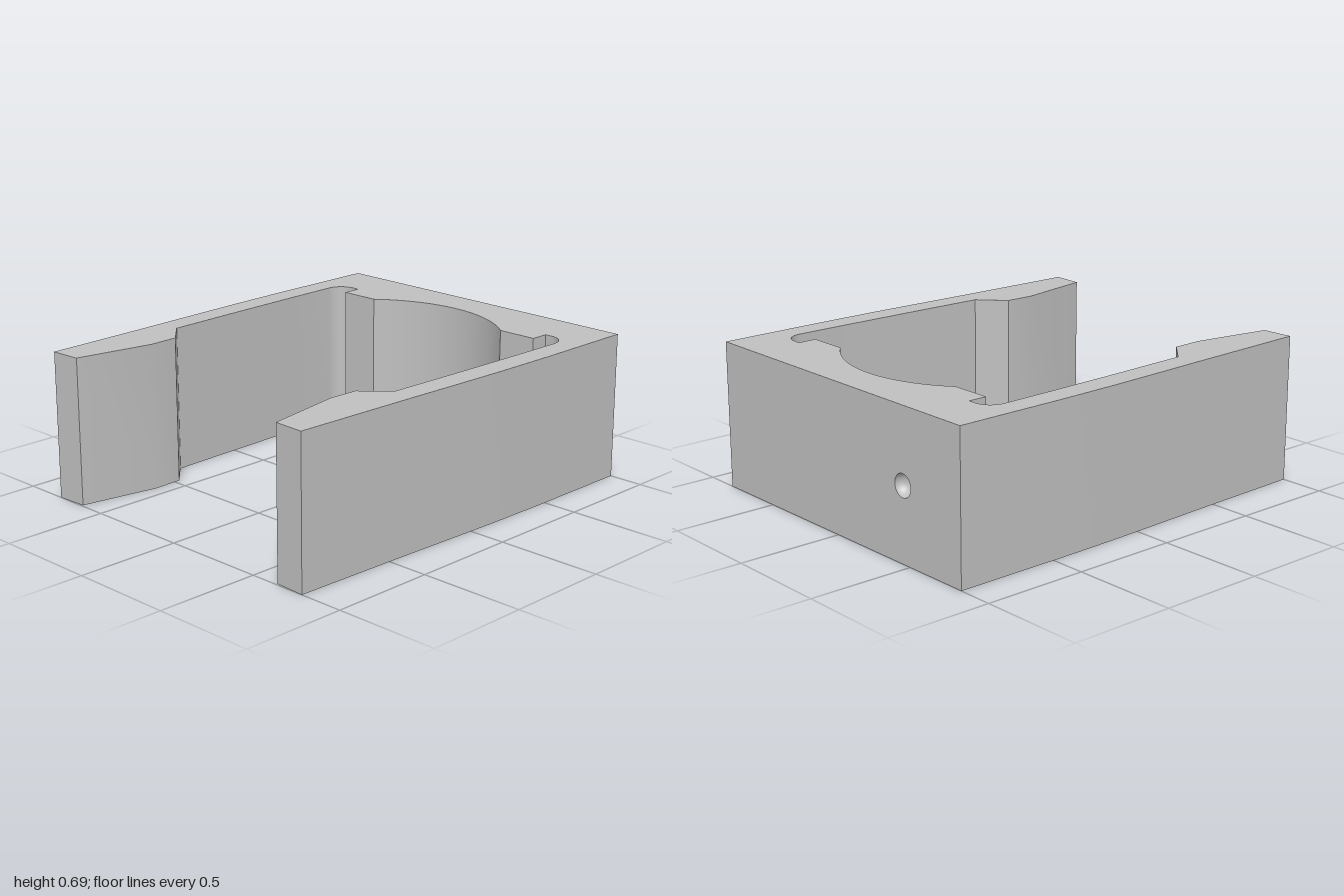
import * as THREE from 'three';
import { toCreasedNormals } from 'three/addons/utils/BufferGeometryUtils.js';

const HEIGHT = 0.695;
const HALF_WIDTH = 0.832;
const DIMPLE = { x: -0.46, y: HEIGHT / 2, r: 0.053 };

// Points along an arc in the (x, z) plane.
function arc(cx, cz, r, from, to, n) {
  return Array.from({ length: n + 1 }, (_, i) => {
    const a = from + ((to - from) * i) / n;
    return [cx + r * Math.cos(a), cz + r * Math.sin(a)];
  });
}

// Half of the clip outline, from the back corner round to the cradle centre.
function halfOutline() {
  const r = 0.622, half = Math.asin(0.405 / r);
  return [
    [HALF_WIDTH, -1], [HALF_WIDTH, -0.45], [0.827, -0.15], [0.818, 0.1], [0.806, 0.4], [0.787, 1], // outer wall
    [0.637, 0.992], [0.569, 0.615], [0.574, 0.472], [0.694, 0.36], // gripping jaw
    [0.706, 0], [0.716, -0.4], // inner wall
    ...arc(0.635, -0.675, 0.085, 0, -Math.PI / 2, 9), // rounded relief
    [0.6, -0.76], [0.6, -0.67], // seat pad
    ...arc(0, -0.82 + r, r, -Math.PI / 2 + half, -Math.PI / 2, 20), // curved cradle
  ];
}

// Extruded clip, leaving its flat back open for the drilled panel.
function clipGeometry() {
  const right = halfOutline();
  const left = right.slice(0, -1).reverse().map(([x, z]) => [-x, z]);
  const shape = new THREE.Shape([...right, ...left].map(([x, z]) => new THREE.Vector2(x, -z)));
  const solid = new THREE.ExtrudeGeometry(shape, { depth: HEIGHT, bevelEnabled: false });
  solid.rotateX(-Math.PI / 2);

  const p = solid.getAttribute('position');
  const kept = [];
  for (let i = 0; i < p.count; i += 3) {
    if ([0, 1, 2].every((k) => p.getZ(i + k) < -0.999)) continue;
    for (let k = 0; k < 3; k++) kept.push(p.getX(i + k), p.getY(i + k), p.getZ(i + k));
  }
  const open = new THREE.BufferGeometry();
  open.setAttribute('position', new THREE.Float32BufferAttribute(kept, 3));
  return toCreasedNormals(open, 0.3);
}

// Back face with a round opening.
function backGeometry() {
  const w = HALF_WIDTH;
  const shape = new THREE.Shape([
    new THREE.Vector2(-w, 0), new THREE.Vector2(w, 0),
    new THREE.Vector2(w, HEIGHT), new THREE.Vector2(-w, HEIGHT),
  ]);
  shape.holes.push(new THREE.Path().absarc(-DIMPLE.x, DIMPLE.y, DIMPLE.r, 0, Math.PI * 2, true));
  return new THREE.ShapeGeometry(shape, 16).rotateY(Math.PI).translate(0, 0, -1);
}

export function createModel() {
  const grey = new THREE.MeshStandardMaterial({ color: 0xc0c0c0, side: THREE.DoubleSide });
  grey.name = 'light grey';
  const group = new THREE.Group();
  group.name = 'springClip';
  const add = (name, geometry) => {
    const mesh = new THREE.Mesh(geometry, grey);
    mesh.name = name;
    group.add(mesh);
    return mesh;
  };

  add('clipBody', clipGeometry());
  add('backFace', backGeometry());

  // Hemispherical pit sunk into the back
  const pit = new THREE.SphereGeometry(DIMPLE.r, 32, 8, 0, Math.PI * 2, 0, Math.PI / 2);
  add('backDimple', pit.rotateX(Math.PI / 2)).position.set(DIMPLE.x, DIMPLE.y, -1);

  return group;
}
